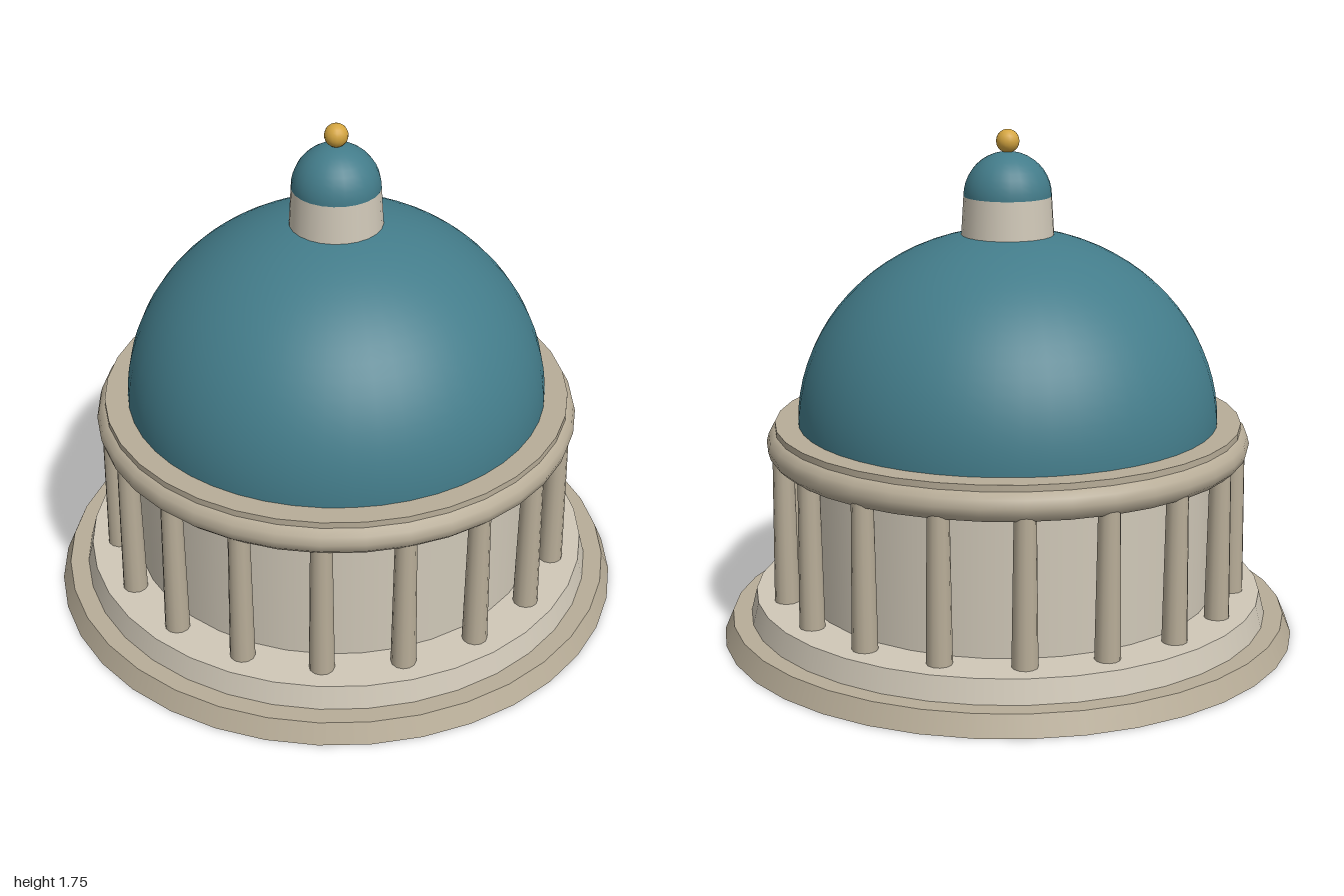
import * as THREE from 'three';

const SEGMENTS = 36;
const COLUMNS = 18;

const paint = (color) => new THREE.MeshStandardMaterial({ color });

export function createModel() {
  const model = new THREE.Group();
  model.name = 'domedRotunda';

  const darkStone = paint(0xb8ad98);
  const lightStone = paint(0xd0c8b8);
  const teal = paint(0x437c8a);
  const gold = paint(0xd4a540);

  const add = (name, geometry, material, y = 0, parent = model) => {
    const mesh = new THREE.Mesh(geometry, material);
    mesh.name = name;
    mesh.position.y = y;
    parent.add(mesh);
    return mesh;
  };

  // Round block given by its bottom and top radius and heights
  const drum = (name, rBottom, rTop, y0, y1, material, sides = SEGMENTS) =>
    add(name, new THREE.CylinderGeometry(rTop, rBottom, y1 - y0, sides), material, (y0 + y1) / 2);

  // Stepped base
  drum('lowerStep', 1.0, 0.97, 0, 0.07, darkStone);
  drum('upperStep', 0.905, 0.885, 0.07, 0.15, lightStone);

  // Inner wall
  drum('wall', 0.72, 0.72, 0.15, 0.66, lightStone);

  // Ring of tapered columns
  const colonnade = new THREE.Group();
  colonnade.name = 'colonnade';
  model.add(colonnade);
  const shaft = new THREE.CylinderGeometry(0.036, 0.043, 0.52, 12);
  for (let i = 0; i < COLUMNS; i++) {
    const angle = (i / COLUMNS) * Math.PI * 2;
    const column = add('column', shaft, darkStone, 0.41, colonnade);
    column.position.x = Math.cos(angle) * 0.785;
    column.position.z = Math.sin(angle) * 0.785;
  }

  // Rounded moulding and the cornice it wraps
  const moulding = new THREE.TorusGeometry(0.78, 0.055, 12, SEGMENTS).rotateX(Math.PI / 2);
  add('moulding', moulding, darkStone, 0.685);
  drum('cornice', 0.805, 0.805, 0.65, 0.755, darkStone);

  // Main dome, slightly flattened
  const dome = new THREE.SphereGeometry(0.725, 48, 20, 0, Math.PI * 2, 0, Math.PI / 2);
  add('dome', dome.scale(1, 0.917, 1), teal, 0.75);

  // Lantern with its small dome and ball
  drum('lantern', 0.16, 0.15, 1.37, 1.53, lightStone, 24);
  add('lanternDome', new THREE.SphereGeometry(0.15, 24, 10, 0, Math.PI * 2, 0, Math.PI / 2), teal, 1.53);
  add('finialBall', new THREE.SphereGeometry(0.04, 16, 12), gold, 1.715);

  return model;
}
